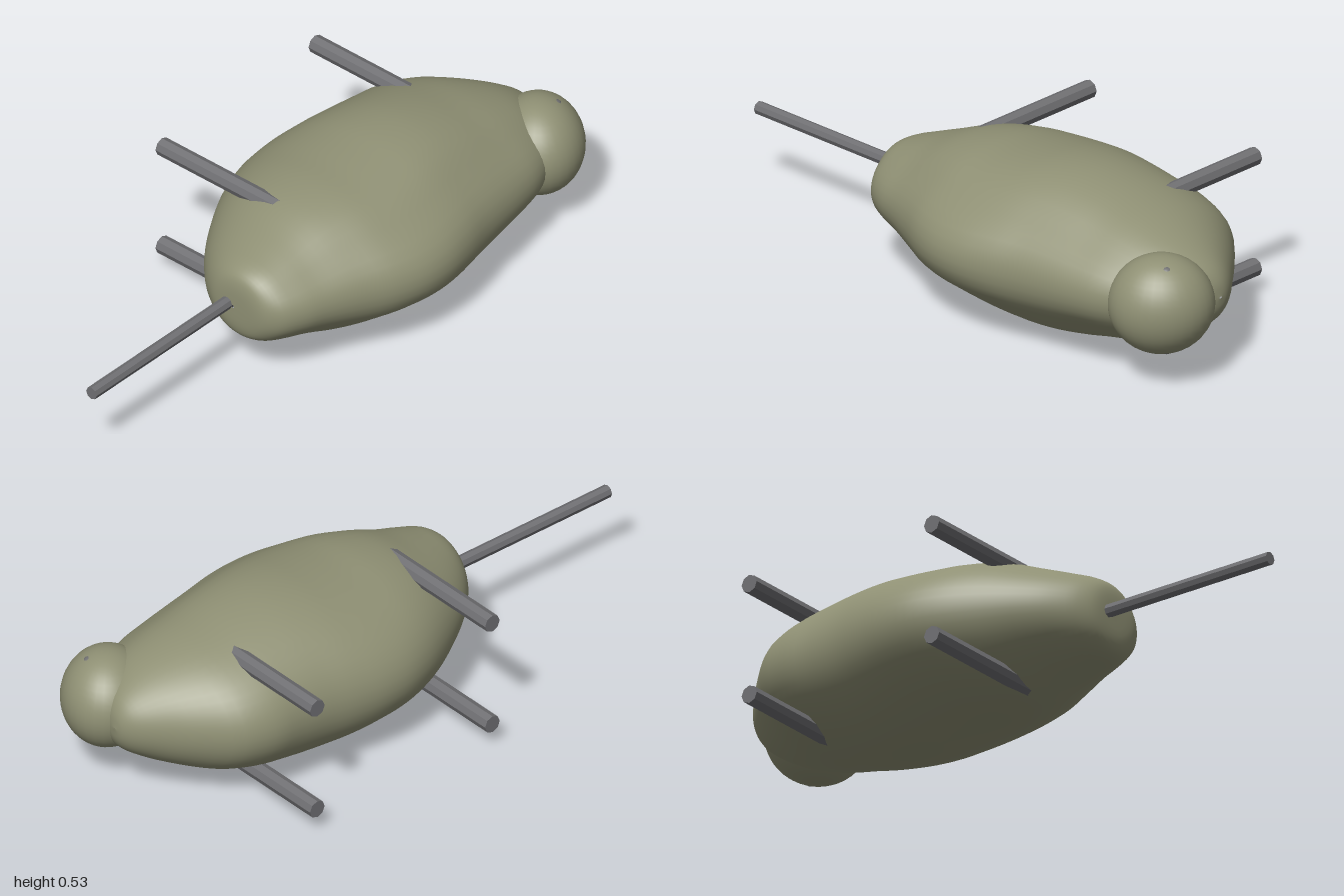
import * as THREE from 'three';

const MID = 0.263; // height of the mirror plane (the animal lies on its side)

// Body loft: [x, half width in y, belly z, back z]
const STATIONS = [
  [-0.385, 0.005, 0.075, 0.085], [-0.382, 0.07, 0.01, 0.17], [-0.37, 0.105, -0.025, 0.21],
  [-0.34, 0.128, -0.07, 0.25], [-0.28, 0.15, -0.13, 0.285], [-0.2, 0.178, -0.19, 0.315],
  [-0.1, 0.216, -0.25, 0.36], [0, 0.235, -0.297, 0.41], [0.1, 0.241, -0.325, 0.44],
  [0.2, 0.251, -0.33, 0.445], [0.3, 0.262, -0.318, 0.43], [0.4, 0.262, -0.3, 0.407],
  [0.5, 0.248, -0.29, 0.39], [0.6, 0.225, -0.283, 0.375], [0.7, 0.2, -0.245, 0.355],
  [0.8, 0.163, -0.15, 0.31], [0.87, 0.125, -0.07, 0.24], [0.92, 0.085, -0.01, 0.17],
  [0.943, 0.045, 0.03, 0.11], [0.95, 0.003, 0.06, 0.07],
];

function bodyGeometry(rings = 64, sides = 48) {
  const shape = new THREE.CatmullRomCurve3(STATIONS.map(s => new THREE.Vector3(s[0], s[1], 0)));
  const span = new THREE.CatmullRomCurve3(STATIONS.map(s => new THREE.Vector3(s[0], s[2], s[3])));
  const positions = [], index = [];
  for (let i = 0; i <= rings; i++) {
    const a = shape.getPoint(i / rings), b = span.getPoint(i / rings);
    const zc = (b.y + b.z) / 2, zr = (b.z - b.y) / 2;
    const envelope = Math.sin(Math.PI * i / rings);
    for (let j = 0; j < sides; j++) {
      const t = (j / sides) * 2 * Math.PI;
      const fromSpine = Math.min(t, 2 * Math.PI - t);
      // shallow hollow on both sides of the spine
      const k = 1 - 0.06 * envelope * Math.exp(-(((fromSpine - 0.7) / 0.32) ** 2));
      positions.push(a.x, MID + Math.max(a.y, 0.002) * k * Math.sin(t), zc + zr * k * Math.cos(t));
      if (i < rings) {
        const n = (j + 1) % sides, r = i * sides, q = r + sides;
        index.push(r + j, q + j, q + n, r + j, q + n, r + n);
      }
    }
  }
  const g = new THREE.BufferGeometry();
  g.setAttribute('position', new THREE.Float32BufferAttribute(positions, 3));
  g.setIndex(index);
  g.computeVertexNormals();
  return g;
}

export function createModel() {
  const group = new THREE.Group();
  const hide = new THREE.MeshStandardMaterial({ color: 0x8f9074 });
  hide.name = 'olive hide';
  const grey = new THREE.MeshStandardMaterial({ color: 0x707073, flatShading: true });
  grey.name = 'grey limbs';
  const eyeGrey = new THREE.MeshStandardMaterial({ color: 0x707071 });
  eyeGrey.name = 'grey eyes';

  const add = (name, geometry, material, x, y, z) => {
    const mesh = new THREE.Mesh(geometry, material);
    mesh.name = name;
    mesh.position.set(x, y, z);
    group.add(mesh);
    return mesh;
  };

  add('body', bodyGeometry(), hide, 0, 0, 0);

  // Head: slightly stretched ball set diagonally on the front of the back
  const head = add('head', new THREE.SphereGeometry(1, 32, 24), hide, 0.848, MID, 0.217);
  head.scale.set(0.163, 0.157, 0.143);
  head.rotation.y = Math.PI / 4;

  // Eyes, one on each side
  for (const side of [-1, 1]) {
    const eye = add(side > 0 ? 'upperEye' : 'lowerEye',
      new THREE.SphereGeometry(0.022, 16, 12), eyeGrey, 0.893, MID + side * 0.13, 0.243);
    eye.scale.set(1, 0.65, 1);
  }

  // Legs: straight octagonal rods pointing backward
  for (const [end, x] of [['rear', -0.105], ['front', 0.59]]) {
    for (const side of [-1, 1]) {
      const leg = add(end + (side > 0 ? 'UpperLeg' : 'LowerLeg'),
        new THREE.CylinderGeometry(0.029, 0.029, 0.51, 8), grey, x, MID + side * 0.184, -0.2);
      leg.rotation.x = Math.PI / 2;
    }
  }

  // Tail
  const tail = add('tail', new THREE.CylinderGeometry(0.021, 0.021, 0.68, 8), grey, -0.66, 0.266, 0.056);
  tail.rotation.z = Math.PI / 2;

  return group;
}
